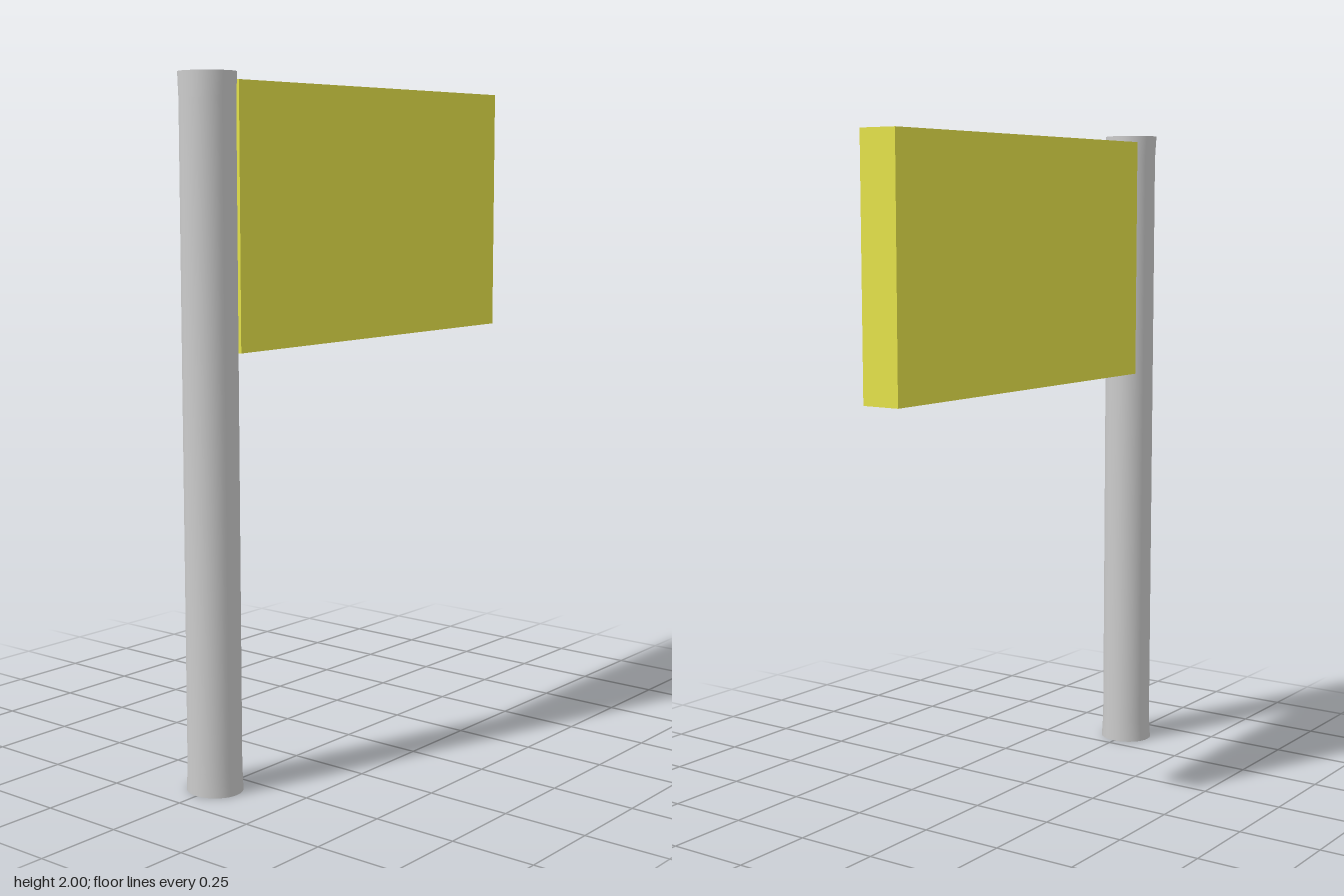
import * as THREE from 'three';

const POLE_Z = 0.605;
const POLE_RADIUS = 0.077;
const HEIGHT = 2;

// Upright pole whose two ends widen slightly sideways
function createPole() {
  const profile = [
    [0, 0], [POLE_RADIUS, 0], [POLE_RADIUS, 0], [POLE_RADIUS, 0.07],
    [POLE_RADIUS, HEIGHT - 0.07], [POLE_RADIUS, HEIGHT], [POLE_RADIUS, HEIGHT], [0, HEIGHT],
  ].map(([r, y]) => new THREE.Vector2(r, y));
  const group = new THREE.Group();
  group.name = 'pole';
  const material = new THREE.MeshStandardMaterial({ color: 0xcccccc });

  // Side wall and flat end caps are separate so the rims stay sharp
  const parts = { poleShaft: profile.slice(2, 6), poleFoot: profile.slice(0, 2), poleTop: profile.slice(6) };
  for (const [name, points] of Object.entries(parts)) {
    const geometry = new THREE.LatheGeometry(points, 48);
    const position = geometry.attributes.position;
    for (let i = 0; i < position.count; i++) {
      const y = position.getY(i);
      const flare = Math.min(y, HEIGHT - y) < 0.01 ? 1.08 : 1.01;
      position.setX(i, position.getX(i) * flare);
    }
    const mesh = new THREE.Mesh(geometry, material);
    mesh.name = name;
    group.add(mesh);
  }
  group.position.z = POLE_Z;
  return group;
}

// Thick rectangular flag reaching back from the pole
function createFlag() {
  const front = 0.545, back = -0.682, bottom = 1.24, top = 1.98;
  const flag = new THREE.Mesh(
    new THREE.BoxGeometry(0.12, top - bottom, front - back),
    new THREE.MeshStandardMaterial({ color: 0xe6e34a })
  );
  flag.name = 'flag';
  flag.position.set(0, (top + bottom) / 2, (front + back) / 2);
  return flag;
}

export function createModel() {
  const model = new THREE.Group();
  model.name = 'flagOnPole';
  model.add(createPole(), createFlag());
  return model;
}
